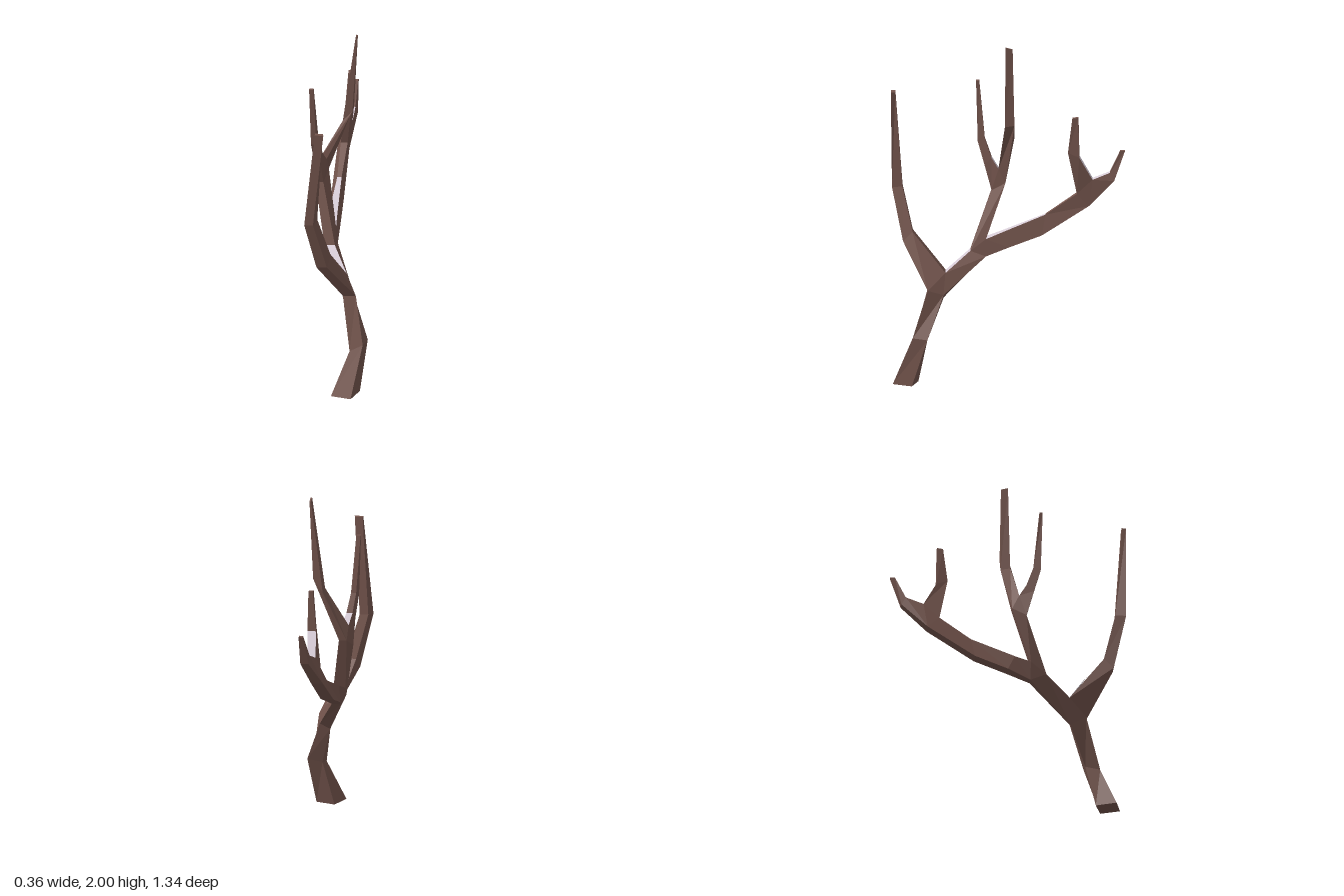
import * as THREE from 'three';

// An edge runs across a limb from x0 to x1 at height y and depth z;
// dy and dz offset its x1 end.
const edge = (x0, x1, y, z, dy = 0, dz = 0) => [[x0, y, z], [x1, y + dy, z + dz]];

export function createModel() {
  const tree = new THREE.Group();
  tree.name = 'bareTree';
  const bark = new THREE.MeshStandardMaterial({ color: 0x74554d });
  bark.name = 'bark';
  const snow = new THREE.MeshStandardMaterial({ color: 0xd6cbd6 });
  snow.name = 'snow';

  function addMesh(name, triangles, material) {
    if (!triangles.length) return;
    const geometry = new THREE.BufferGeometry();
    geometry.setAttribute('position', new THREE.Float32BufferAttribute(triangles.flat(2), 3));
    geometry.computeVertexNormals();
    const mesh = new THREE.Mesh(geometry, material);
    mesh.name = name;
    tree.add(mesh);
  }

  const quad = (list, a, b, c, d) => list.push([a, b, c], [a, c, d]);

  // Four-sided limb through sections [frontEdge, backEdge].
  // snowy lists faces 'segment:side', where side 0 is the front and 2 the back.
  function limb(name, sections, { snowy = [], start = false, end = true } = {}) {
    const wood = [], white = [];
    const rings = sections.map(([a, b]) => [a[0], a[1], b[1], b[0]]);
    for (let i = 0; i < rings.length - 1; i++) {
      for (let s = 0; s < 4; s++) {
        const t = (s + 1) % 4;
        const list = snowy.includes(`${i}:${s}`) ? white : wood;
        quad(list, rings[i][s], rings[i][t], rings[i + 1][t], rings[i + 1][s]);
      }
    }
    if (start) quad(wood, ...[...rings[0]].reverse());
    if (end) quad(wood, ...rings[rings.length - 1]);
    addMesh(name, wood, bark);
    addMesh(name + 'Snow', white, snow);
  }

  // Side triangles closing a fork between its front, crotch and back edges.
  function fork(name, { front: f, crotch: c, back: b }) {
    addMesh(name, [[f[1], b[1], c[1]], [f[0], c[0], b[0]]], bark);
  }

  const low = {
    front: edge(0.035, 0.11, 0.56, 0.46),
    crotch: edge(-0.02, 0.05, 0.65, 0.36),
    back: edge(0.03, 0.09, 0.50, 0.37, 0.03),
  };
  const middle = {
    front: edge(-0.09, -0.03, 0.76, 0.22),
    crotch: edge(-0.10, -0.03, 0.83, 0.13),
    back: edge(-0.07, -0.02, 0.73, 0.13),
  };
  const rear = {
    front: edge(-0.045, -0.005, 1.11, -0.39),
    crotch: edge(-0.03, 0.015, 1.2, -0.48),
    back: edge(-0.07, 0.0, 1.04, -0.46),
  };
  const upper = {
    front: edge(-0.15, -0.105, 1.1, 0.10),
    crotch: edge(-0.13, -0.09, 1.23, 0.06),
    back: edge(-0.125, -0.08, 1.15, 0.02),
  };
  fork('lowFork', low);
  fork('middleFork', middle);
  fork('rearFork', rear);
  fork('upperFork', upper);

  // Trunk
  limb('trunk', [
    [edge(-0.02, 0.095, 0, 0.63, 0, 0.03), edge(0.03, 0.14, 0, 0.515, 0, 0.035)],
    [edge(0.08, 0.155, 0.25, 0.545, 0.04), edge(0.09, 0.178, 0.27, 0.46, 0.015)],
    [low.front, low.back],
  ], { start: true, end: false });

  // Branch leaning to the front
  limb('frontBranch', [
    [low.front, low.crotch],
    [edge(-0.105, -0.045, 0.81, 0.605), edge(-0.09, -0.03, 0.87, 0.55)],
    [edge(-0.17, -0.12, 1.11, 0.67), edge(-0.15, -0.10, 1.12, 0.61)],
    [edge(-0.11, -0.06, 1.69, 0.675), edge(-0.11, -0.065, 1.69, 0.65)],
  ]);
  // Small drift in the low crotch
  addMesh('crotchSnow', [[[-0.022, 0.654, 0.362], [0.048, 0.654, 0.362], [-0.045, 0.776, 0.456]]], snow);

  // Limb between the low and middle forks
  limb('mainLimb', [
    [low.crotch, low.back],
    [middle.front, middle.back],
  ], { snowy: ['0:0'], end: false });

  // Long limb reaching to the rear
  limb('rearLimb', [
    [middle.crotch, middle.back],
    [edge(-0.08, -0.03, 0.87, 0.04), edge(-0.09, -0.015, 0.785, 0)],
    [edge(-0.05, -0.025, 0.98, -0.21), edge(-0.085, -0.01, 0.86, -0.19)],
    [rear.front, rear.back],
  ], { snowy: ['0:0', '1:0'], end: false });
  limb('rearUprightTwig', [
    [rear.front, rear.crotch],
    [edge(-0.01, 0.02, 1.36, -0.34), edge(-0.02, 0.03, 1.335, -0.405)],
    [edge(0.0, 0.025, 1.565, -0.365), edge(0.0, 0.025, 1.57, -0.40)],
  ], { snowy: ['0:2'] });
  limb('rearEndTwig', [
    [rear.crotch, rear.back],
    [edge(-0.012, 0.025, 1.245, -0.58), edge(-0.01, 0.037, 1.2, -0.605)],
    [edge(0.015, 0.035, 1.38, -0.64), edge(0.015, 0.037, 1.38, -0.667)],
  ], { snowy: ['0:0'] });

  // Upright limb with its leader and side twig
  limb('uprightLimb', [
    [middle.front, middle.crotch],
    [upper.front, upper.back],
  ], { end: false });
  limb('leader', [
    [upper.crotch, upper.back],
    [edge(0.0, 0.055, 1.46, 0.02, 0.06), edge(0.005, 0.06, 1.45, -0.035, 0.08)],
    [edge(0.074, 0.083, 2.0, 0.015), edge(0.074, 0.083, 1.99, -0.025)],
  ]);
  limb('sideTwig', [
    [upper.front, upper.crotch],
    [edge(-0.155, -0.12, 1.25, 0.142), edge(-0.145, -0.11, 1.29, 0.10)],
    [edge(-0.17, -0.14, 1.38, 0.18), edge(-0.16, -0.13, 1.40, 0.14)],
    [edge(-0.18, -0.155, 1.735, 0.19), edge(-0.18, -0.155, 1.735, 0.172)],
  ], { snowy: ['0:2'] });

  return tree;
}
